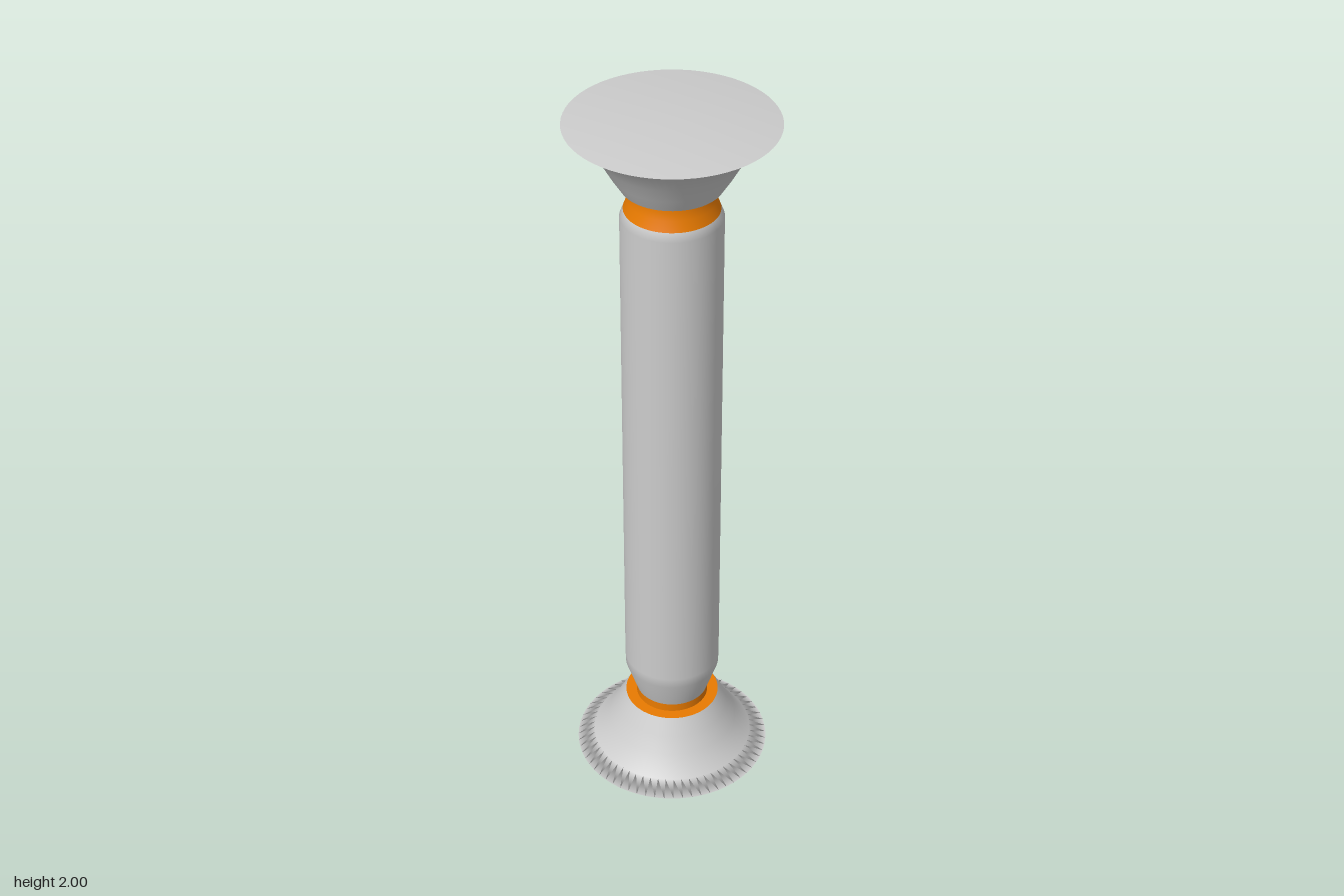
import * as THREE from 'three';

const grey = new THREE.MeshStandardMaterial({ color: 0xcccccc, side: THREE.DoubleSide });
const orange = new THREE.MeshStandardMaterial({ color: 0xe87a00, side: THREE.DoubleSide });

// Turned part from [radius, height] pairs, listed bottom to top
function turned(name, profile, material) {
  const points = profile.map(([r, y]) => new THREE.Vector2(r, y));
  const mesh = new THREE.Mesh(new THREE.LatheGeometry(points, 64), material);
  mesh.name = name;
  return mesh;
}

export function createModel() {
  const column = new THREE.Group();
  column.name = 'column';

  // Flared foot, closed underneath
  const flare = [[0, 0], [0.27, 0], [0.222, 0.027], [0.18, 0.085], [0.155, 0.13], [0.13, 0.176]];
  column.add(turned('base', flare, grey));

  // Capital: the same flare turned upside down
  const upper = flare.map(([r, y]) => [r, 2 - y]).reverse();
  upper[0][1] = 1.83;
  column.add(turned('capital', upper, grey));

  // Shaft, tapering at the bottom and slightly chamfered at the top
  column.add(turned('shaft', [[0.1, 0.2], [0.13, 0.29], [0.131, 0.32], [0.131, 1.74], [0.122, 1.763]], grey));

  // Coloured collars, including the ledges where they meet the flares
  column.add(turned('lowerLedge', [[0.13, 0.176], [0.1, 0.176]], orange));
  column.add(turned('lowerCollar', [[0.1, 0.176], [0.1, 0.2]], orange));
  column.add(turned('upperCollar', [[0.122, 1.763], [0.112, 1.79], [0.108, 1.81], [0.107, 1.83]], orange));
  column.add(turned('upperLedge', [[0.107, 1.83], [0.13, 1.83]], orange));

  return column;
}
